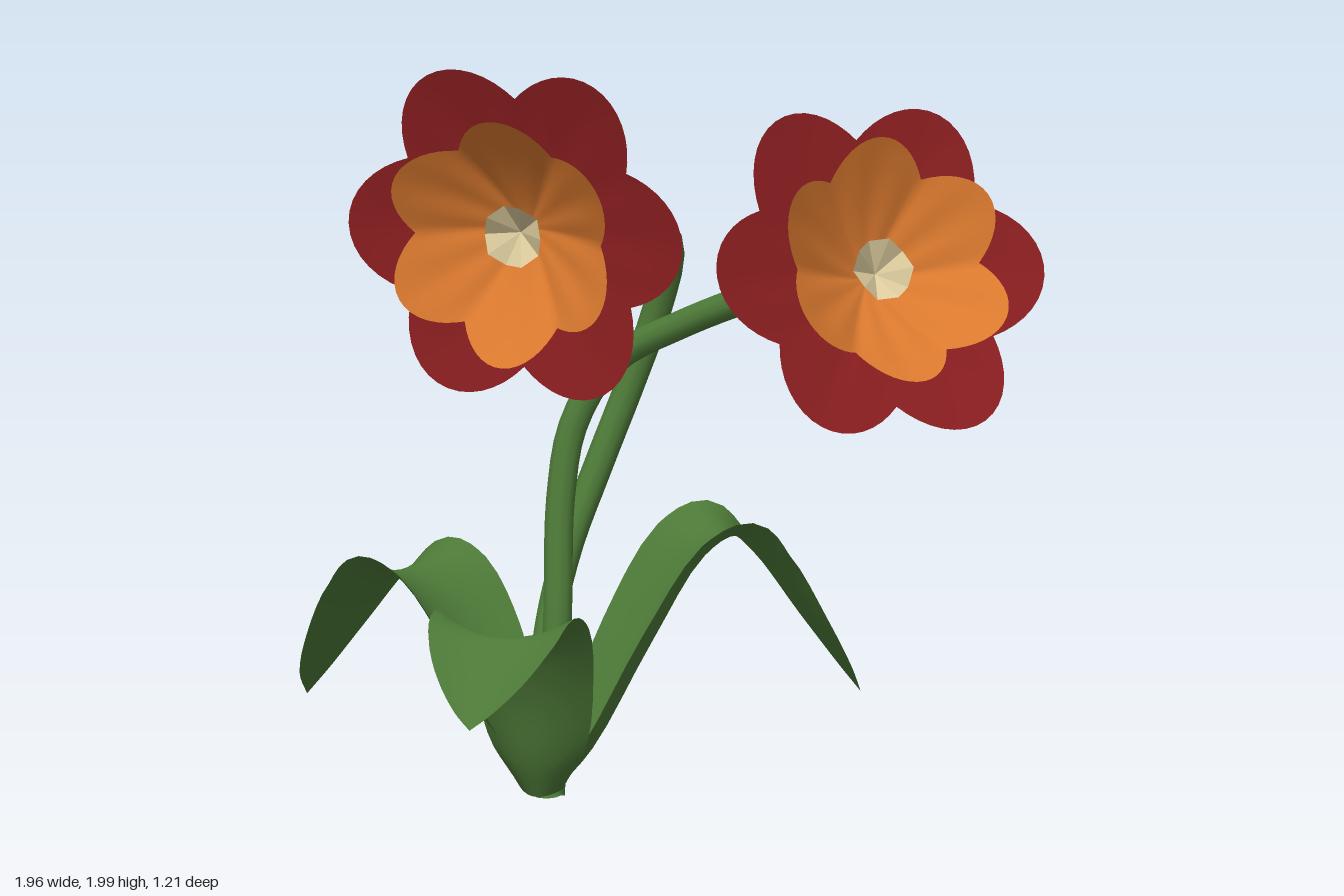
import * as THREE from 'three';
import { mergeVertices } from 'three/addons/utils/BufferGeometryUtils.js';

const mat = (name, color) => new THREE.MeshStandardMaterial({ name, color, side: THREE.DoubleSide });

// Smooth sheet from a rule fn(u, v) -> [x, y, z], u and v in 0..1
function sheet(nu, nv, fn) {
  const pos = [], index = [];
  for (let i = 0; i <= nu; i++) for (let j = 0; j <= nv; j++) pos.push(...fn(i / nu, j / nv));
  for (let i = 0; i < nu; i++) for (let j = 0; j < nv; j++) {
    const a = i * (nv + 1) + j, b = a + nv + 1;
    index.push(a, b, a + 1, b, b + 1, a + 1);
  }
  let g = new THREE.BufferGeometry();
  g.setAttribute('position', new THREE.Float32BufferAttribute(pos, 3));
  g.setIndex(index);
  g = mergeVertices(g, 1e-5);
  g.computeVertexNormals();
  return g;
}

// Six-lobed whorl opening along +z; valley/tip give [radius, height] of its rim
function whorl(valley, tip, phase, power, pleat) {
  return sheet(12, 96, (t, v) => {
    const a = v === 1 ? 0 : v * Math.PI * 2;
    const lobe = Math.abs(Math.cos(3 * (a - phase)));
    const r = (valley[0] + (tip[0] - valley[0]) * lobe) * t;
    const h = (valley[1] + (tip[1] - valley[1]) * lobe) * Math.pow(t, power)
      - pleat * Math.cos(12 * (a - phase)) * Math.sin(Math.PI * t) * t;
    return [r * Math.cos(a), r * Math.sin(a), h];
  });
}

function mesh(name, geometry, material) {
  const m = new THREE.Mesh(geometry, material);
  m.name = name;
  return m;
}

export function createModel() {
  const group = new THREE.Group();
  group.name = 'floweringPlant';
  const red = mat('outerPetalRed', 0x8b1e20);
  const orange = mat('innerPetalOrange', 0xdc7a2f);
  const green = mat('leafGreen', 0x4c7837);
  const cream = mat('centreCream', 0xdaca9c);
  cream.flatShading = true;

  // Flower heads
  const outerGeo = whorl([0.37, 0.06], [0.49, 0.085], 0, 1.4, 0.003);
  const innerGeo = whorl([0.272, 0.135], [0.34, 0.205], Math.PI / 6, 1.35, 0.004);
  const cupGeo = sheet(1, 10, (t, v) => {
    const k = Math.round(v * 10) % 10, a = k * Math.PI / 5;
    return [t * 0.086 * Math.cos(a), t * 0.086 * Math.sin(a), 0.05 + t * (k % 2 ? 0.045 : 0.065)];
  });
  function flower(name, origin, right, facing) {
    const n = new THREE.Vector3(...facing).normalize();
    const y = n.clone().cross(new THREE.Vector3(...right)).normalize();
    const f = new THREE.Group();
    f.name = name;
    f.add(mesh('outerPetals', outerGeo, red), mesh('innerPetals', innerGeo, orange), mesh('centreCup', cupGeo, cream));
    f.quaternion.setFromRotationMatrix(new THREE.Matrix4().makeBasis(y.clone().cross(n), y, n));
    f.position.set(...origin);
    group.add(f);
  }
  flower('frontFlower', [-0.262, 1.565, 0.04], [0.98, 0, 0.06], [-0.06, -0.085, 1]);
  flower('sideFlower', [0.58, 1.422, -0.297], [0.677, -0.04, -0.733], [0.684, 0.398, 0.611]);

  // Stems
  const stems = {
    frontFlowerStem: [[-0.22, 0.025, 0.01], [-0.285, 0.35, -0.14], [-0.288, 0.62, -0.31], [-0.242, 0.85, -0.44],
      [-0.185, 1.06, -0.53], [-0.125, 1.25, -0.565], [-0.075, 1.43, -0.535], [-0.09, 1.54, -0.41],
      [-0.17, 1.58, -0.19], [-0.262, 1.57, 0.035]],
    sideFlowerStem: [[-0.21, 0.025, 0.01], [-0.235, 0.5, -0.11], [-0.26, 0.8, -0.2], [-0.245, 0.99, -0.26],
      [-0.16, 1.15, -0.32], [0.03, 1.26, -0.345], [0.3, 1.37, -0.335], [0.46, 1.41, -0.325], [0.57, 1.42, -0.302]],
  };
  for (const [name, pts] of Object.entries(stems)) {
    const curve = new THREE.CatmullRomCurve3(pts.map(p => new THREE.Vector3(...p)));
    group.add(mesh(name, new THREE.TubeGeometry(curve, 40, 0.04, 10), green));
  }

  // Arching channelled leaves: points are [distance from base, height, half width]
  function leaf(name, base, dir, pts) {
    const len = Math.hypot(...dir), dx = dir[0] / len, dz = dir[1] / len;
    const curve = new THREE.CatmullRomCurve3(pts.map(p => new THREE.Vector3(...p)));
    const geo = sheet(32, 10, (t, v) => {
      const p = curve.getPoint(t), q = curve.getTangent(t);
      const l = Math.hypot(q.x, q.y) || 1, s = v * 2 - 1, w = Math.max(p.z, 0);
      const lift = s * s * w * (0.65 - 0.43 * Math.min(1, t * 1.6));
      const d = p.x - q.y / l * lift, y = p.y + q.x / l * lift;
      return [base[0] + dx * d - dz * s * w, y, base[1] + dz * d + dx * s * w];
    });
    group.add(mesh(name, geo, green));
  }
  leaf('frontLeaf', [-0.22, 0.09], [0, 1], [[0, 0.03, 0.06], [0.05, 0.13, 0.13], [0.11, 0.32, 0.175],
    [0.19, 0.465, 0.2], [0.25, 0.502, 0.2], [0.32, 0.47, 0.18], [0.41, 0.385, 0.12], [0.475, 0.322, 0.053], [0.51, 0.288, 0]]);
  leaf('rightLeaf', [-0.22, 0.04], [-0.76, -0.22], [[0, 0.03, 0.05], [0.13, 0.17, 0.11], [0.27, 0.4, 0.17],
    [0.385, 0.555, 0.195], [0.465, 0.595, 0.2], [0.55, 0.54, 0.185], [0.665, 0.4, 0.135], [0.75, 0.285, 0.07], [0.79, 0.225, 0]]);
  leaf('leftLeaf', [-0.2, 0.03], [0.68, -0.54], [[0, 0.03, 0.05], [0.11, 0.15, 0.11], [0.27, 0.43, 0.17],
    [0.415, 0.66, 0.195], [0.5, 0.71, 0.2], [0.58, 0.65, 0.185], [0.71, 0.475, 0.13], [0.815, 0.335, 0.06], [0.87, 0.265, 0]]);

  return group;
}
